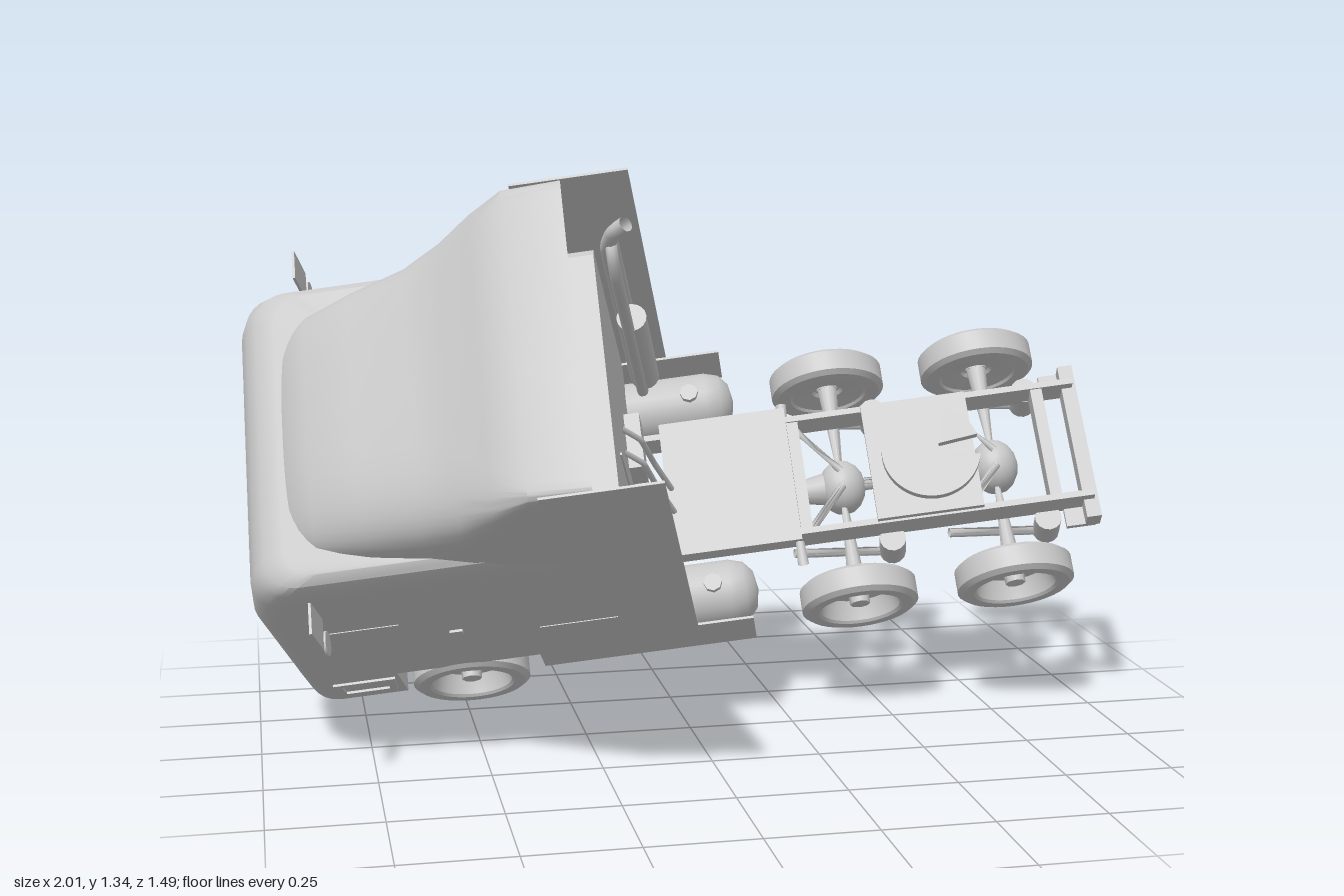
import * as THREE from 'three';
import { toCreasedNormals } from 'three/addons/utils/BufferGeometryUtils.js';

const grey = new THREE.MeshStandardMaterial({ color: 0xc8c8c8, side: THREE.DoubleSide });
grey.name = 'plain grey';

const v2 = pts => pts.map(p => new THREE.Vector2(...p));
function add(parent, name, geo, x = 0, y = 0, z = 0) {
  const m = new THREE.Mesh(geo, grey);
  m.name = name;
  m.position.set(x, y, z);
  parent.add(m);
  return m;
}
// box given by its extents on each axis
function block(parent, name, x0, x1, y0, y1, z0, z1) {
  return add(parent, name, new THREE.BoxGeometry(x1 - x0, y1 - y0, z1 - z0),
    (x0 + x1) / 2, (y0 + y1) / 2, (z0 + z1) / 2);
}
function rod(parent, name, pts, r, sides = 10) {
  const curve = new THREE.CatmullRomCurve3(pts.map(p => new THREE.Vector3(...p)), false, 'catmullrom', 0.1);
  return add(parent, name, new THREE.TubeGeometry(curve, pts.length > 2 ? 32 : 1, r, sides));
}
// skin over a list of point rows, with optional cap on the last row
function loft(rows, closed, cap) {
  const n = rows[0].length, pos = rows.flat(2), idx = [];
  const span = closed ? n : n - 1;
  for (let i = 0; i < rows.length - 1; i++) for (let j = 0; j < span; j++) {
    const a = i * n + j, b = i * n + (j + 1) % n;
    idx.push(a, b, a + n, b, b + n, a + n);
  }
  if (cap) {
    const s = (rows.length - 1) * n;
    for (let j = 1; j < n - 1; j++) idx.push(s, s + j, s + j + 1);
  }
  const g = new THREE.BufferGeometry();
  g.setAttribute('position', new THREE.Float32BufferAttribute(pos, 3));
  g.setIndex(idx);
  return toCreasedNormals(g, 0.6);
}
// plan outline of the cab: square rear, rounded front corners
function planRow(y, xf, xb, w, r) {
  const row = [[xb, y, w]];
  for (let i = 0; i <= 6; i++) {
    const a = i / 6 * Math.PI / 2;
    row.push([xf + r - r * Math.sin(a), y, w - r + r * Math.cos(a)]);
  }
  return row.concat(row.slice().reverse().map(([x, h, z]) => [x, h, -z]));
}
const planPoints = (...a) => planRow(0, ...a).map(p => new THREE.Vector2(p[0], p[2]));

function wheel(parent, name, x, y, side, outer) {
  const r = 0.141, w = 0.07;
  // tyre and deep dished rim, outer face towards +y of the lathe
  const prof = v2([[0.04, 0.012], [0.09, 0.006], [0.095, 0], [0.128, 0], [r, 0.01], [r, w - 0.01], [0.128, w], [0.102, w],
    [0.096, w - 0.006], [0.09, w - 0.03], [0.082, w - 0.052], [0.04, w - 0.054], [0.034, w - 0.046], [0, w - 0.046]]);
  const g = new THREE.Group();
  g.name = name;
  add(g, 'tyreAndRim', toCreasedNormals(new THREE.LatheGeometry(prof, 36), 0.5));
  add(g, 'hub', new THREE.CylinderGeometry(0.024, 0.027, 0.04, 8), 0, w - 0.034, 0);
  g.rotation.x = side * Math.PI / 2;
  g.position.set(x, y, side * (outer - w));
  parent.add(g);
}

export function createModel() {
  const model = new THREE.Group();
  model.name = 'tractorTruck';
  const t = new THREE.Group(); // local frame: rear +x, up +y, front wheels on y = 0
  t.name = 'truck';
  t.rotation.set(0.962, 0, 0.244);
  t.position.set(0.037, 0.372, -0.439);
  model.add(t);

  // cab shell
  add(t, 'cab', loft([
    planRow(0.27, -0.91, -0.057, 0.362, 0.07), planRow(0.68, -0.905, -0.057, 0.362, 0.07),
    planRow(0.8, -0.88, -0.057, 0.362, 0.07), planRow(0.86, -0.855, -0.057, 0.361, 0.07),
    planRow(0.887, -0.828, -0.057, 0.354, 0.07), planRow(0.902, -0.785, -0.057, 0.335, 0.07),
  ], true, true));
  add(t, 'cabFloor', new THREE.ShapeGeometry(new THREE.Shape(planPoints(-0.9, -0.06, 0.36, 0.07)))
    .rotateX(Math.PI / 2), 0, 0.33, 0);

  // front bumper, a hollow U shape
  const u = new THREE.Shape(planPoints(-0.915, -0.67, 0.362, 0.08));
  u.holes.push(new THREE.Path(planPoints(-0.875, -0.675, 0.325, 0.05).reverse()));
  add(t, 'bumper', toCreasedNormals(
    new THREE.ExtrudeGeometry(u, { depth: 0.14, bevelEnabled: false }).rotateX(Math.PI / 2), 0.5), 0, 0.275, 0);

  // front panel with thin upright slats
  block(t, 'frontPanel', -0.914, -0.905, 0.38, 0.67, -0.2, 0.16);
  for (let i = 0; i < 3; i++) block(t, 'frontSlat', -0.918, -0.913, 0.42, 0.63, -0.12 + i * 0.1, -0.114 + i * 0.1);

  // roof fairing: cross-sections growing from the brow to the full width
  const sections = [[-0.79, 0.22, 0.03, 0.9], [-0.765, 0.265, 0.075, 0.8], [-0.71, 0.29, 0.115, 0.65], [-0.6, 0.315, 0.165, 0.55],
    [-0.47, 0.335, 0.205, 0.45], [-0.38, 0.352, 0.252, 0.32], [-0.3, 0.36, 0.312, 0.17],
    [-0.22, 0.3615, 0.362, 0.06], [-0.09, 0.3615, 0.365, 0.04]];
  add(t, 'roofFairing', loft(sections.map(([x, w, h, e]) => {
    const row = [];
    for (let i = 0; i <= 24; i++) {
      const a = i / 24 * Math.PI, c = Math.cos(a), s = Math.max(0, Math.sin(a));
      row.push([x, 0.84 + h * Math.pow(s, e), w * Math.sign(c) * Math.pow(Math.abs(c), e)]);
    }
    return row;
  }), false, false));

  for (const s of [-1, 1]) {
    const side = (name, x0, x1, y0, y1, za, zb) =>
      block(t, name, x0, x1, y0, y1, Math.min(s * za, s * zb), Math.max(s * za, s * zb));
    // rear side extenders
    side('upperSideExtender', -0.2, 0.054, 0.82, 1.204, 0.357, 0.3625);
    side('sideExtender', -0.07, 0.054, 0.28, 0.83, 0.357, 0.3625);
    // lower skirt, and the fuel tank inside it
    side('skirt', -0.33, 0.185, 0.152, 0.3, 0.347, 0.353);
    const tankProfile = v2([[0, -0.27], [0.045, -0.262], [0.07, -0.24], [0.08, -0.205],
      [0.08, 0.205], [0.07, 0.24], [0.045, 0.262], [0, 0.27]]);
    add(t, 'fuelTank', toCreasedNormals(new THREE.LatheGeometry(tankProfile, 24), 0.7), -0.065, 0.208, s * 0.25)
      .rotation.z = -Math.PI / 2;
    add(t, 'tankCap', new THREE.CylinderGeometry(0.022, 0.022, 0.02, 8), 0.1, 0.29, s * 0.25);
    // headlight surround on the bumper corner
    const frame = new THREE.Shape(v2([[-0.83, 0.165], [-0.69, 0.165], [-0.68, 0.25], [-0.83, 0.25]]));
    frame.holes.push(new THREE.Path(v2([[-0.81, 0.185], [-0.81, 0.235], [-0.7, 0.235], [-0.705, 0.185]])));
    add(t, 'headlightSurround', new THREE.ExtrudeGeometry(frame, { depth: 0.008, bevelEnabled: false }), 0, 0, s * 0.364 - 0.004);
    // window sill, door handle and trim
    side('windowSill', -0.78, -0.6, 0.6, 0.604, 0.362, 0.364);
    side('doorHandle', -0.5, -0.47, 0.5, 0.52, 0.362, 0.368);
    side('sideTrim', -0.3, -0.12, 0.46, 0.464, 0.362, 0.364);
    // thin mirrors
    side('mirror', -0.738, -0.732, 0.775, 0.885, 0.39, 0.46);
    add(t, 'roundMirror', new THREE.CylinderGeometry(0.028, 0.028, 0.006, 16), -0.735, 0.73, s * 0.43).rotation.z = Math.PI / 2;
    // main rail
    side('rail', -0.8, 1.03, 0.205, 0.285, 0.14, 0.155);
    side('rearBracket', 0.96, 1.03, 0.2, 0.215, 0.155, 0.2);
    // wheels and rear suspension
    wheel(t, 'frontWheel', -0.512, 0.141, s, 0.37);
    for (const x of [0.443, 0.82]) {
      wheel(t, 'rearWheel', x, 0.16, s, 0.32);
      add(t, 'airSpring', new THREE.CylinderGeometry(0.032, 0.032, 0.09, 14), x + 0.1, 0.17, s * 0.17);
      rod(t, 'trailingArm', [[x - 0.14, 0.2, s * 0.17], [x + 0.12, 0.125, s * 0.17]], 0.012, 6);
      rod(t, 'axleStay', [[x, 0.225, s * 0.02], [x - 0.1, 0.24, s * 0.14]], 0.01, 6);
    }
    side('leafSpring', -0.72, -0.3, 0.165, 0.185, 0.15, 0.19);
  }

  // chassis cross members, rear frame and deck plate
  block(t, 'deckPlate', 0.016, 0.325, 0.288, 0.3, -0.173, 0.173);
  for (const x of [-0.78, -0.1, 0.34, 0.62, 0.94]) block(t, 'crossMember', x - 0.014, x + 0.014, 0.215, 0.28, -0.145, 0.145);
  block(t, 'rearBeam', 1.005, 1.04, 0.205, 0.26, -0.2, 0.2);
  rod(t, 'frontCrossTube', [[0.32, 0.23, -0.21], [0.32, 0.23, 0.21]], 0.014);

  // coupling plate with a slot opening to the rear
  const disc = new THREE.Shape();
  disc.absarc(0, 0, 0.118, 0.22, Math.PI * 2 - 0.22);
  disc.lineTo(0.02, -0.015);
  disc.lineTo(0.02, 0.015);
  block(t, 'couplingBase', 0.51, 0.765, 0.287, 0.303, -0.15, 0.15);
  add(t, 'couplingPlate', new THREE.ExtrudeGeometry(disc, { depth: 0.02, bevelEnabled: false, curveSegments: 28 })
    .rotateX(Math.PI / 2), 0.66, 0.323, 0);

  // axles, differentials and drive shafts
  rod(t, 'frontAxle', [[-0.512, 0.141, -0.3], [-0.512, 0.141, 0.3]], 0.024);
  for (const x of [0.443, 0.82]) {
    rod(t, 'rearAxle', [[x, 0.16, -0.28], [x, 0.16, 0.28]], 0.026);
    add(t, 'differential', new THREE.SphereGeometry(0.068, 16, 12).scale(0.85, 1, 1), x, 0.16, 0);
    add(t, 'differentialNose', new THREE.CylinderGeometry(0.045, 0.025, 0.1, 12), x - 0.07, 0.165, 0).rotation.z = -Math.PI / 2;
  }
  rod(t, 'driveShaft', [[-0.25, 0.2, 0], [0.34, 0.165, 0]], 0.016);
  rod(t, 'driveShaft', [[0.46, 0.165, 0], [0.72, 0.165, 0]], 0.016);

  // engine, sump and gearbox below the cab floor
  block(t, 'engine', -0.76, -0.42, 0.17, 0.34, -0.1, 0.1);
  block(t, 'sump', -0.7, -0.56, 0.12, 0.18, -0.07, 0.07);
  add(t, 'gearbox', new THREE.CylinderGeometry(0.075, 0.045, 0.18, 12), -0.33, 0.22, 0).rotation.z = -Math.PI / 2;

  // exhaust stack, intake frame and hoses on the rear wall
  rod(t, 'exhaustPipe', [[-0.02, 0.32, -0.31], [-0.02, 0.96, -0.31], [0.0, 1.03, -0.31], [0.03, 1.06, -0.31]], 0.018);
  rod(t, 'intakeLoop', [[-0.01, 0.34, -0.25], [-0.01, 0.93, -0.25], [-0.01, 0.99, -0.28],
    [-0.01, 0.99, -0.32], [-0.01, 0.93, -0.34], [-0.01, 0.34, -0.34]], 0.014);
  add(t, 'muffler', new THREE.CylinderGeometry(0.035, 0.035, 0.32, 16), 0.0, 0.52, -0.28);
  for (let i = 0; i < 2; i++) rod(t, 'airHose', [[-0.06, 0.56, -0.06 + i * 0.06], [-0.02, 0.5, -0.05 + i * 0.06],
    [0.0, 0.4, -0.03 + i * 0.06], [0.03, 0.3, i * 0.06]], 0.007, 6);
  block(t, 'rearWallBox', -0.065, -0.02, 0.36, 0.46, -0.14, 0.0);
  for (const z of [0.08, 0.2]) block(t, 'rearWallRib', -0.06, -0.053, 0.5, 0.74, z, z + 0.006);
  return model;
}
